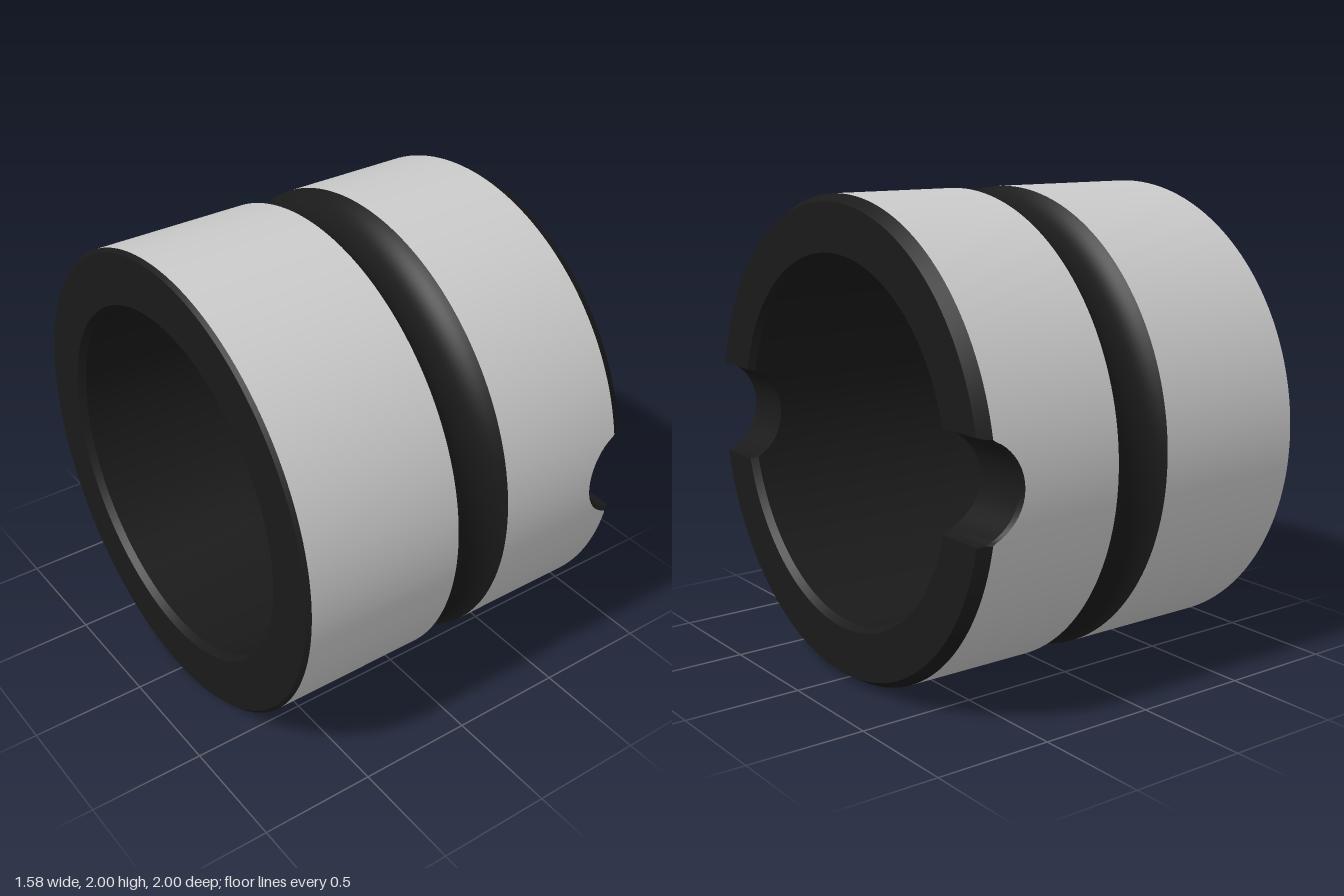
import * as THREE from 'three';
import { toCreasedNormals } from 'three/addons/utils/BufferGeometryUtils.js';

const END = 0.79;                          // half length of the sleeve
const NOTCH_X = 0.83, NOTCH_R = 0.205;     // round cut-outs in the right-hand end
const NOTCH_H = Math.sqrt(NOTCH_R ** 2 - (NOTCH_X - END) ** 2);
const ARC = 72, CUT = 24;                  // columns per plain arc and per notch

// Columns round the axis. Inside a notch they keep a constant height at every
// radius, so the notch walls run straight through the ring.
function makeColumns() {
  const columns = [];
  for (const back of [false, true]) {
    for (let i = 0; i < CUT; i++) {
      const h = NOTCH_H * Math.sin((i / CUT - 0.5) * Math.PI);
      const turn = back ? Math.PI : 0;
      const end = NOTCH_X - Math.sqrt(NOTCH_R ** 2 - h * h);
      columns.push({ end: Math.min(END, end), angle: r => turn + Math.asin(h / r) });
    }
    for (let i = 0; i < ARC; i++) {
      const turn = back ? Math.PI : 0;
      columns.push({
        end: END,
        angle: r => {
          const a = Math.asin(NOTCH_H / r);
          return turn + a + (Math.PI - 2 * a) * i / ARC;
        },
      });
    }
  }
  return columns;
}

// Sweep a profile of [x, radius] points, which may depend on the column's end.
function sweep(profile, columns) {
  const positions = [], index = [];
  let n = 0;
  for (const c of columns) {
    const points = profile(c.end);
    n = points.length;
    for (const [x, r] of points) {
      const a = c.angle(r);
      positions.push(x, 1 + r * Math.sin(a), r * Math.cos(a));
    }
  }
  for (let j = 0; j < columns.length; j++) {
    const k = (j + 1) % columns.length;
    for (let i = 0; i < n - 1; i++) {
      const a = j * n + i, b = k * n + i;
      index.push(a, a + 1, b + 1, a, b + 1, b);
    }
  }
  const geometry = new THREE.BufferGeometry();
  geometry.setAttribute('position', new THREE.Float32BufferAttribute(positions, 3));
  geometry.setIndex(index);
  return toCreasedNormals(geometry, Math.PI / 7);
}

export function createModel() {
  const group = new THREE.Group();
  const columns = makeColumns();
  const grey = new THREE.MeshStandardMaterial({ color: 0xcccccc });
  const dark = new THREE.MeshStandardMaterial({ color: 0x1a1a1a });
  const add = (name, profile, material) => {
    const mesh = new THREE.Mesh(sweep(profile, columns), material);
    mesh.name = name;
    group.add(mesh);
  };

  // Outer edge of the right end, with a fine bevel round each notch
  const edge = end => {
    const bevel = 0.015 * Math.min(1, (END - end) / 0.05);
    return Math.min(0.74, end - bevel);
  };
  const chamferRadius = end => 1 - Math.max(0.015 * (end < END), 0.03 * (end - 0.74) / 0.05);

  // Two polished outer bands
  add('leftBand', () => [[-0.775, 1], [-0.085, 1]], grey);
  add('rightBand', end => [[0.165, 1], [edge(end), 1]], grey);

  // Shallow rounded groove between the bands
  const groove = [];
  const half = 0.125, depth = 0.065;
  const radius = (half * half + depth * depth) / (2 * depth);
  const sweepAngle = Math.asin(half / radius);
  for (let i = 0; i <= 16; i++) {
    const t = sweepAngle * (i / 8 - 1);
    groove.push([0.04 + radius * Math.sin(t), 1 - depth + radius * (1 - Math.cos(t))]);
  }
  add('groove', () => groove, dark);

  // Right end with its chamfers and notch walls
  add('rightEnd', end => [
    [edge(end), 1],
    [end, chamferRadius(end)],
    [end, 0.75 + 0.02 * Math.max(0, (end - 0.76) / 0.03)],
    [Math.min(0.76, end), 0.75],
  ], dark);

  // Bore
  add('bore', end => [[Math.min(0.76, end), 0.75], [-0.76, 0.75]], dark);

  // Left end with its chamfers
  add('leftEnd', () => [[-0.76, 0.75], [-END, 0.77], [-END, 0.985], [-0.775, 1]], dark);

  return group;
}
